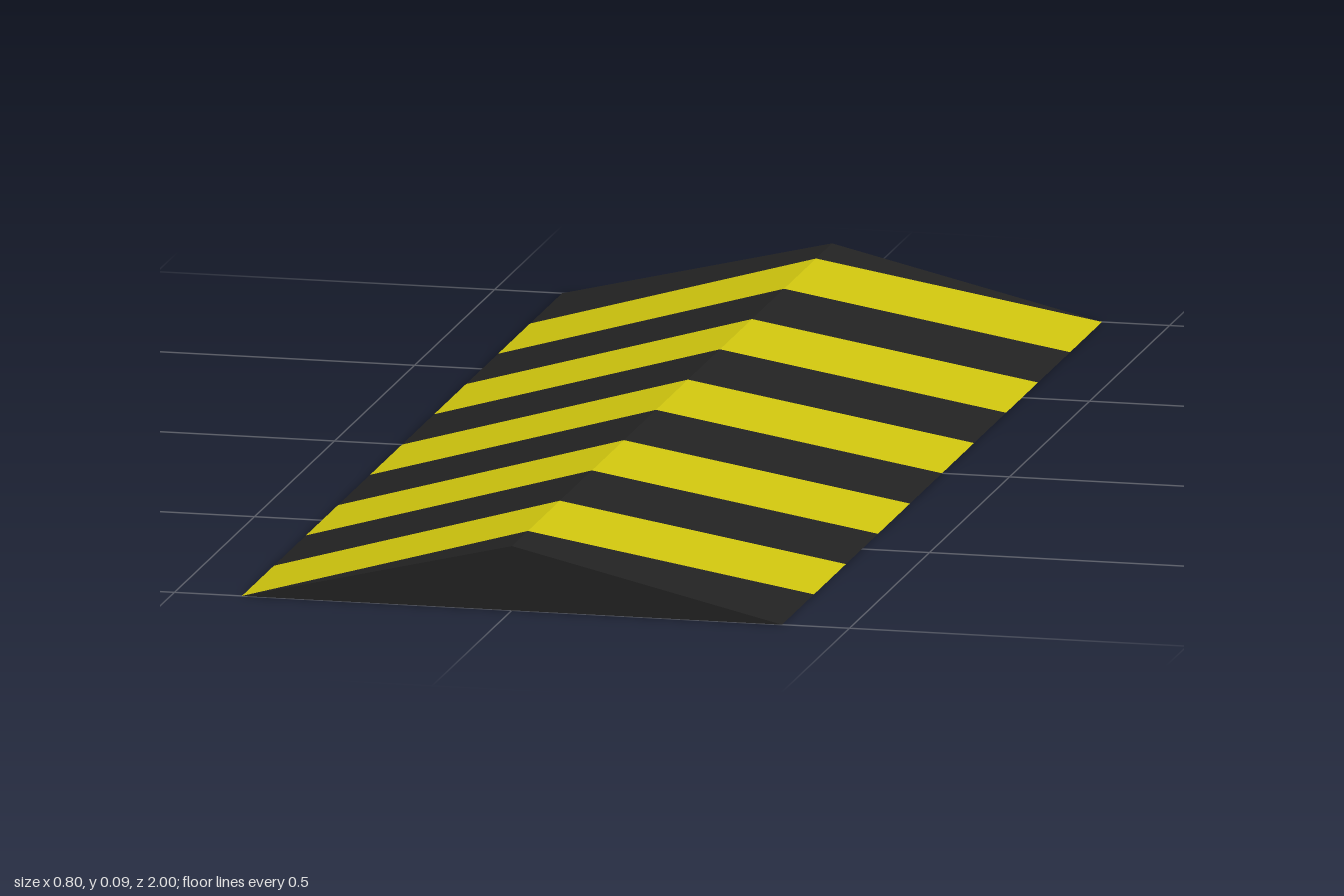
import * as THREE from 'three';

const HALF_WIDTH = 0.4, HALF_LENGTH = 1, HEIGHT = 0.095;
const SLANT = -0.25; // change of z per unit of x along a stripe edge

const ridge = (x) => HEIGHT * (1 - Math.abs(x) / HALF_WIDTH);

function facets(points) {
  const geometry = new THREE.BufferGeometry().setFromPoints(points);
  geometry.computeVertexNormals();
  return geometry;
}

// One slanted band folded over the ridge, between two edges given as z(x)
function bandGeometry(back, front) {
  const points = [];
  for (const [x0, x1] of [[-HALF_WIDTH, 0], [0, HALF_WIDTH]]) {
    const at = (x, edge) => new THREE.Vector3(x, ridge(x), edge(x));
    const a = at(x0, back), b = at(x0, front), c = at(x1, front), d = at(x1, back);
    // skip the collapsed triangle where an end band tapers to a point
    if (b.z - a.z > 1e-6) points.push(a, b, d);
    if (c.z - d.z > 1e-6) points.push(b, c, d);
  }
  return facets(points);
}

export function createModel() {
  const model = new THREE.Group();
  model.name = 'speedBump';

  // Open underneath, so both sides show
  const black = new THREE.MeshStandardMaterial({ color: 0x222222, side: THREE.DoubleSide });
  black.name = 'black rubber';
  const yellow = new THREE.MeshStandardMaterial({ color: 0xcdc30e, side: THREE.DoubleSide });
  yellow.name = 'yellow stripe';

  const add = (name, geometry, material) => {
    const mesh = new THREE.Mesh(geometry, material);
    mesh.name = name;
    model.add(mesh);
  };

  // Stripe edges: square at both ends, slanted in between
  const edges = [() => -HALF_LENGTH];
  for (let i = 0; i < 10; i++) edges.push((x) => -0.9 + 0.2 * i + SLANT * x);
  edges.push(() => HALF_LENGTH);

  // Alternating black and yellow bands
  for (let i = 0; i < edges.length - 1; i++) {
    const isYellow = i % 2 === 1;
    add(isYellow ? 'yellowBand' : 'blackBand', bandGeometry(edges[i], edges[i + 1]), isYellow ? yellow : black);
  }

  // Triangular end caps
  for (const side of [1, -1]) {
    const z = side * HALF_LENGTH;
    add(side > 0 ? 'frontCap' : 'backCap', facets([
      new THREE.Vector3(-side * HALF_WIDTH, 0, z),
      new THREE.Vector3(side * HALF_WIDTH, 0, z),
      new THREE.Vector3(0, HEIGHT, z),
    ]), black);
  }
  return model;
}
